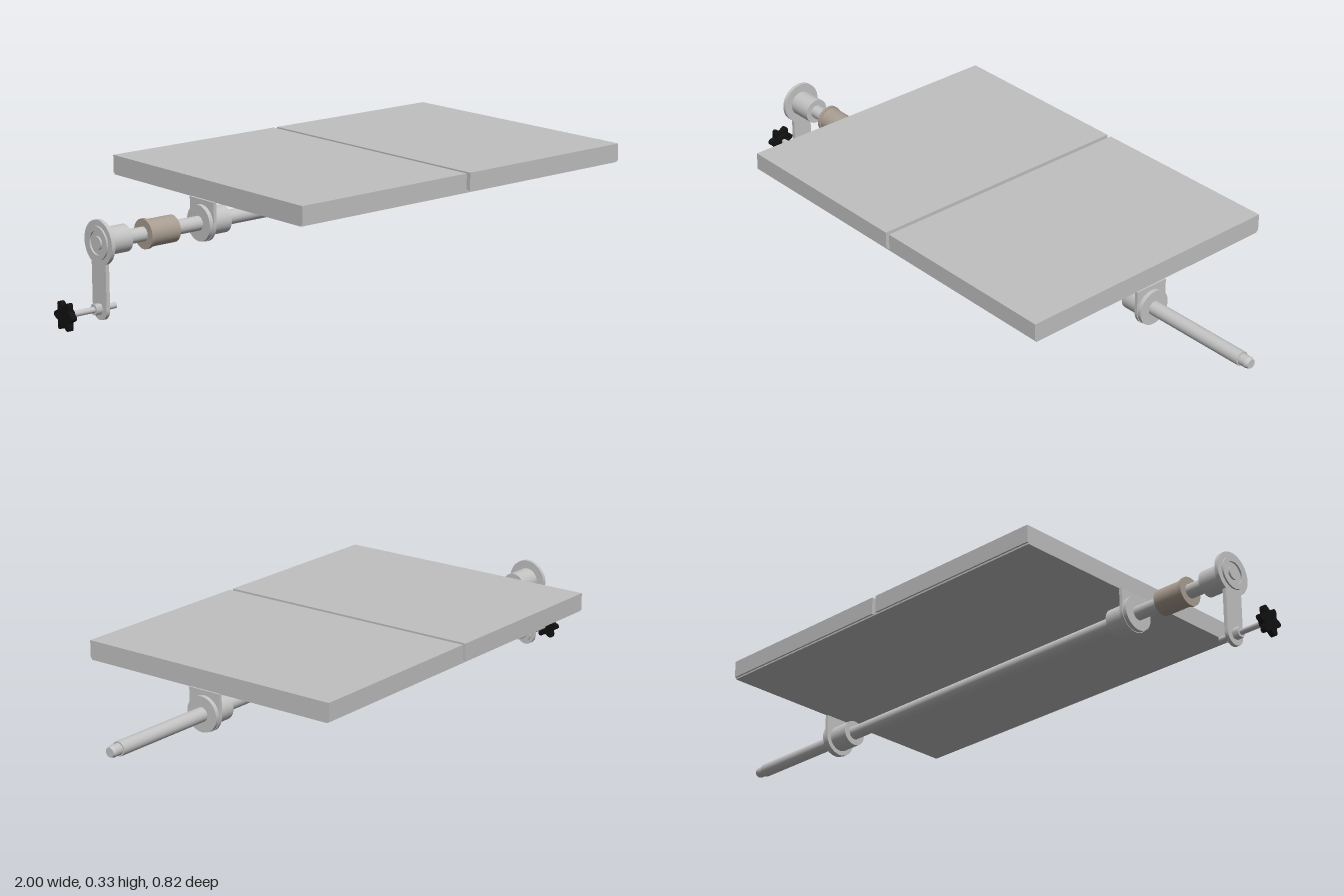
import * as THREE from 'three';

const mat = (name, color) => {
  const m = new THREE.MeshStandardMaterial({ color });
  m.name = name;
  return m;
};

export function createModel() {
  const panelGrey = mat('panel grey', 0xc0c0c0);
  const steel = mat('steel grey', 0xc4c4c4);
  const bronze = mat('bronze brown', 0xaa9e92);
  const black = mat('knob black', 0x111111);
  const model = new THREE.Group();
  model.name = 'crankTable';

  const AXIS = 0.217; // height of the shaft
  const HANDLE = 0.041; // height of the crank handle

  const add = (name, geometry, material, parent = model) => {
    const mesh = new THREE.Mesh(geometry, material);
    mesh.name = name;
    parent.add(mesh);
    return mesh;
  };
  const box = (name, x0, x1, y0, y1, depth, material) =>
    add(name, new THREE.BoxGeometry(x1 - x0, y1 - y0, depth), material)
      .position.set((x0 + x1) / 2, (y0 + y1) / 2, 0);
  // Round part lying along x
  const rod = (name, x0, x1, r, material = steel, y = AXIS, sides = 40) => {
    const g = new THREE.CylinderGeometry(r, r, x1 - x0, sides).rotateZ(-Math.PI / 2);
    add(name, g, material).position.set((x0 + x1) / 2, y, 0);
  };
  // Outline in the z-y plane given thickness along x
  const plate = (name, shape, x0, x1, material = steel) => {
    const g = new THREE.ExtrudeGeometry(shape, { depth: x1 - x0, bevelEnabled: false, curveSegments: 24 });
    add(name, g.rotateY(Math.PI / 2), material).position.x = x0;
  };

  // Table top: two panels over one thin base sheet, with a groove between
  box('leftPanel', 0.05, 0.632, 0.284, 0.334, 0.82, panelGrey);
  box('rightPanel', -0.54, 0.037, 0.284, 0.334, 0.82, panelGrey);
  box('baseSheet', -0.54, 0.632, 0.279, 0.284, 0.81, panelGrey);

  // Shaft with a reduced end
  rod('shaft', -0.88, 0.968, 0.02);
  rod('shaftEnd', 0.968, 0.99, 0.016);
  const tip = new THREE.CylinderGeometry(0.013, 0.016, 0.01, 40).rotateZ(-Math.PI / 2);
  add('shaftTip', tip, steel).position.set(0.995, AXIS, 0);

  // Bearings hanging from the table, mirrored at both ends
  const bracket = new THREE.Shape();
  bracket.moveTo(-0.052, 0.28);
  bracket.lineTo(-0.052, AXIS);
  bracket.absarc(0, AXIS, 0.052, Math.PI, 2 * Math.PI, false);
  bracket.lineTo(0.052, 0.28);
  bracket.closePath();
  for (const side of [-1, 1]) {
    const span = (a, b) => [0.045 + side * a, 0.045 + side * b].sort((p, q) => p - q);
    rod('bearingCollar', ...span(0.52, 0.597), 0.038);
    plate('bearingBracket', bracket, ...span(0.583, 0.592));
    rod('bearingFlange', ...span(0.592, 0.604), 0.05);
  }

  // Bronze bushing between crank and table
  rod('bushing', -0.735, -0.645, 0.037, bronze);
  rod('bushingFlange', -0.741, -0.732, 0.041, bronze);

  // Crank hub and arm
  rod('crankCollar', -0.876, -0.8, 0.037);
  const arm = new THREE.Shape();
  const headR = 0.061, half = 0.031;
  const joint = Math.asin(half / headR);
  arm.absarc(0, AXIS, headR, -Math.PI / 2 + joint, 1.5 * Math.PI - joint, false);
  arm.lineTo(-half, HANDLE);
  arm.absarc(0, HANDLE, half, Math.PI, 2 * Math.PI, false);
  arm.closePath();
  plate('crankArm', arm, -0.885, -0.874);
  const ring = new THREE.Shape();
  ring.absarc(0, AXIS, 0.045, 0, 2 * Math.PI, false);
  const hole = new THREE.Path();
  hole.absarc(0, AXIS, 0.032, 0, 2 * Math.PI, true);
  ring.holes.push(hole);
  plate('hubRing', ring, -0.89, -0.885);
  rod('hubBolt', -0.89, -0.885, 0.018);

  // Handle pin with nut and washers
  rod('handlePin', -0.985, -0.835, 0.008, steel, HANDLE, 20);
  rod('handleNut', -0.904, -0.885, 0.016, steel, HANDLE, 6);
  rod('handleWasher', -0.874, -0.868, 0.02, steel, HANDLE, 24);

  // Six-lobed knob
  const points = [];
  for (let i = 0; i < 72; i++) {
    const a = (i / 72) * 2 * Math.PI;
    const r = 0.035 + 0.007 * Math.cos(6 * a);
    points.push(new THREE.Vector2(r * Math.cos(a), HANDLE + r * Math.sin(a)));
  }
  plate('knob', new THREE.Shape(points), -1, -0.985, black);
  rod('knobBoss', -0.986, -0.975, 0.02, black, HANDLE, 24);

  return model;
}
